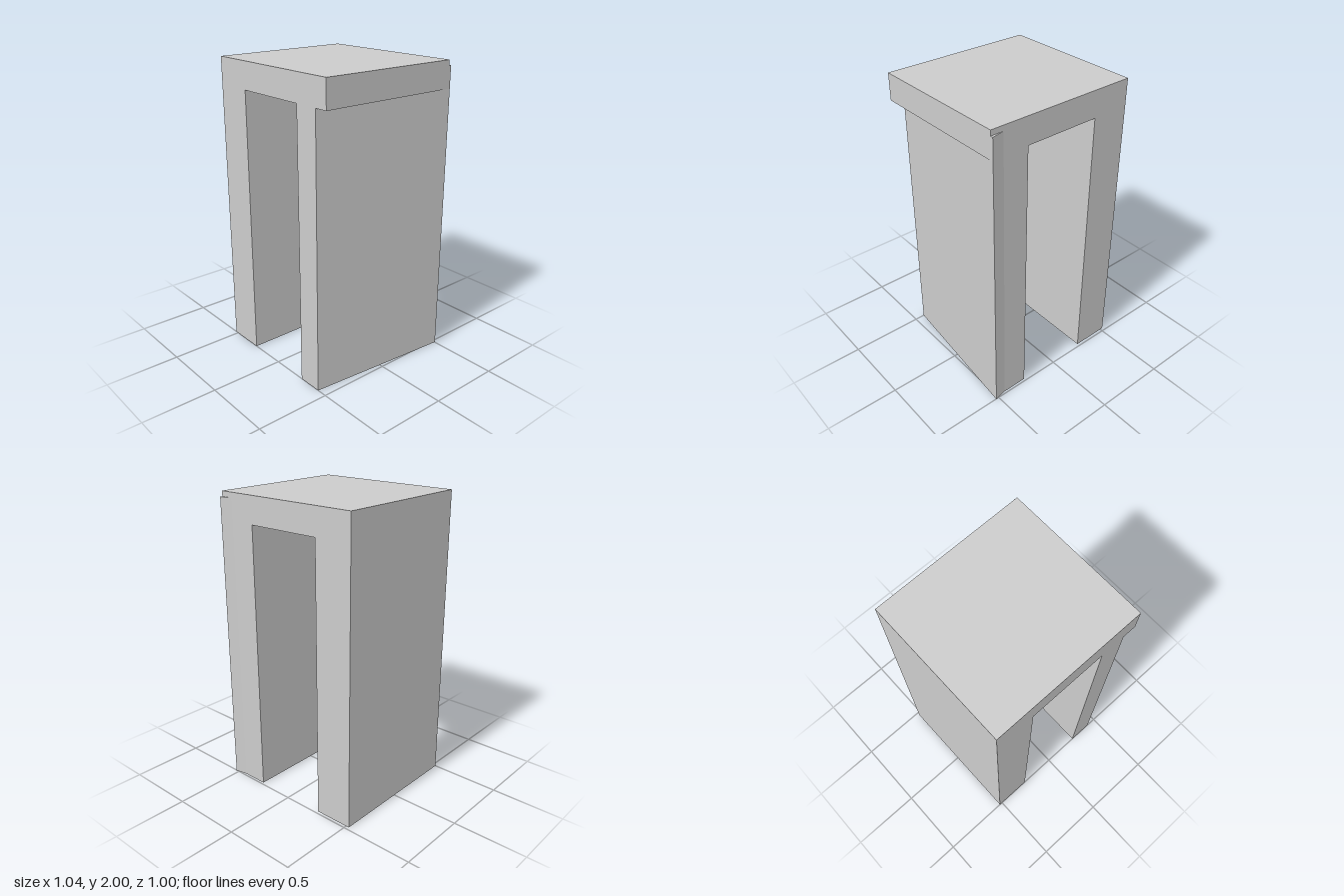
import * as THREE from 'three';

const material = new THREE.MeshStandardMaterial({ color: 0xcccccc, flatShading: true });

// Upright prism over a ground footprint of [x, z] corners
function prism(name, footprint, bottom, top) {
  const shape = new THREE.Shape(footprint.map(([x, z]) => new THREE.Vector2(x, -z)));
  const geometry = new THREE.ExtrudeGeometry(shape, { depth: top - bottom, bevelEnabled: false });
  geometry.rotateX(-Math.PI / 2).translate(0, bottom, 0);
  const mesh = new THREE.Mesh(geometry, material);
  mesh.name = name;
  return mesh;
}

// The back runs very slightly askew
const backZ = (x) => -0.482 - 0.006 * x;

export function createModel() {
  const group = new THREE.Group();
  group.name = 'arch';
  const half = 0.522, inner = 0.26, front = 0.5, underside = 1.82;

  // Top slab
  group.add(prism('topSlab', [
    [-half, front], [half, front], [half, backZ(half)], [-half, backZ(-half)],
  ], underside, 2));

  // Straight right leg
  group.add(prism('rightLeg', [
    [-half, front], [-inner, front], [-inner, backZ(-inner)], [-half, backZ(-half)],
  ], 0, underside));

  // Left leg, narrower at the front, with a flared back corner
  const flareX = 0.435, flareZ = -0.503;
  group.add(prism('leftLeg', [
    [inner, front], [0.43, front], [half, flareZ], [flareX, backZ(flareX)], [inner, backZ(inner)],
  ], 0, underside));

  // Flared corner carried up behind the slab
  group.add(prism('backFlare', [
    [flareX, backZ(flareX)], [half, backZ(half)], [half, flareZ],
  ], underside, 1.965));

  return group;
}
